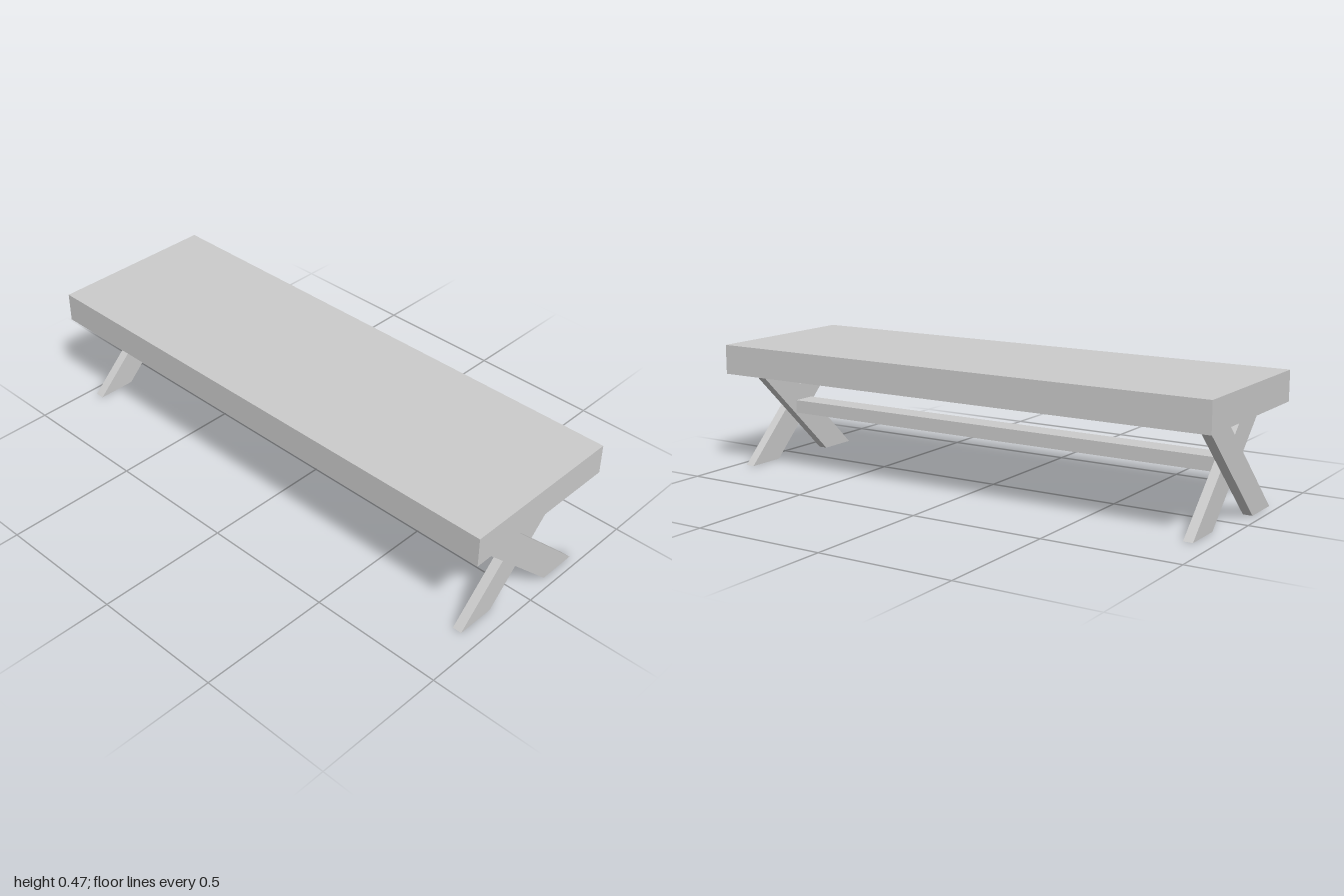
import * as THREE from 'three';

const material = new THREE.MeshStandardMaterial({ color: 0xcccccc, flatShading: true });
const TOP_Y = 0.475, UNDER_Y = 0.364;

function addBox(parent, name, size, position) {
  const mesh = new THREE.Mesh(new THREE.BoxGeometry(...size), material);
  mesh.name = name;
  mesh.position.set(...position);
  parent.add(mesh);
}

// Slanted board cut level at the floor and at the underside of the top
function addBoard(parent, name, xMin, xMax, topZ, bottomZ) {
  const shape = new THREE.Shape([
    new THREE.Vector2(bottomZ[0], 0),
    new THREE.Vector2(bottomZ[1], 0),
    new THREE.Vector2(topZ[1], UNDER_Y),
    new THREE.Vector2(topZ[0], UNDER_Y),
  ]);
  const geometry = new THREE.ExtrudeGeometry(shape, { depth: xMax - xMin, bevelEnabled: false });
  geometry.rotateY(-Math.PI / 2); // profile into the z-y plane, depth towards -x
  geometry.translate(xMax, 0, 0);
  const mesh = new THREE.Mesh(geometry, material);
  mesh.name = name;
  parent.add(mesh);
}

// Crossed pair of boards, side by side, for the +x end
function crossedLegs(name) {
  const legs = new THREE.Group();
  legs.name = name;
  addBoard(legs, 'outerLegBoard', 0.931, 0.966, [0.111, 0.26], [-0.266, -0.118]);
  addBoard(legs, 'innerLegBoard', 0.896, 0.931, [-0.246, -0.097], [0.132, 0.28]);
  return legs;
}

export function createModel() {
  const model = new THREE.Group();
  model.name = 'bench';

  // Thick slab top
  addBox(model, 'top', [2, TOP_Y - UNDER_Y, 0.64], [0, (TOP_Y + UNDER_Y) / 2, 0]);

  // The two ends are the same frame turned half round
  const leftLegs = crossedLegs('leftLegs');
  const rightLegs = crossedLegs('rightLegs');
  rightLegs.rotation.y = Math.PI;
  model.add(leftLegs, rightLegs);

  // Long rail between the crossings
  addBox(model, 'stretcher', [1.792, 0.05, 0.09], [0, 0.202, 0]);

  return model;
}
